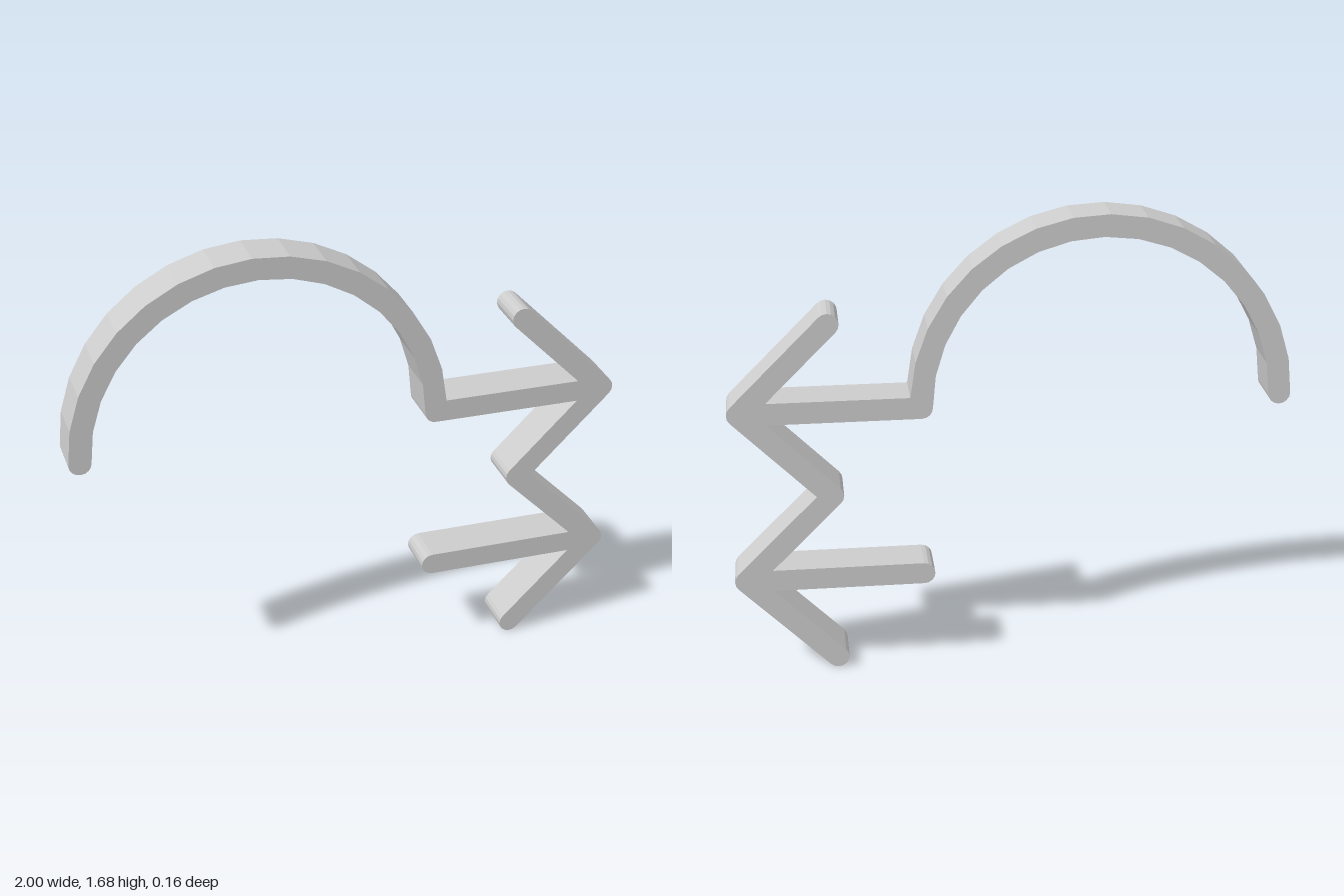
import * as THREE from 'three';

const R = 0.04;              // half the stroke width
const D = R * Math.SQRT2;    // offset of a diagonal edge measured along an axis
const DEPTH = 0.16;

export function createModel() {
  const grey = new THREE.MeshStandardMaterial({ color: 0xcccccc });
  grey.name = 'plain grey';

  const pts = [];
  const point = (x, y) => pts.push(new THREE.Vector2(x, y));
  // Arc of points between two angles in degrees
  const arc = (x, y, r, from, to, steps) => {
    for (let i = 0; i <= steps; i++) {
      const a = THREE.MathUtils.degToRad(from + (to - from) * i / steps);
      point(x + r * Math.cos(a), y + r * Math.sin(a));
    }
  };
  const round = (x, y, from, to) => arc(x, y, R, from, to, Math.round((to - from) / 22.5));
  const crotch = 0.96 - R - D; // x where a shaft edge meets an arrowhead edge

  // Hook: free end and inside of the bow
  round(-0.96, 1, 180, 360);
  arc(-0.32, 1, 0.64 - R, 180, 0, 16);
  // Underside of the upper arrow, down to the bend between the arrows
  round(0.32, 1, 180, 270);
  point(crotch, 1 - R);
  round(0.64, 0.68, 135, 225);
  // Lower arrow
  point(crotch, 0.36 + R);
  round(0.32, 0.36, 90, 270);
  point(crotch, 0.36 - R);
  round(0.64, 0.04, 135, 315);
  round(0.96, 0.36, -45, 45);
  // Upper arrow head
  point(0.64 + D, 0.68);
  round(0.96, 1, -45, 45);
  round(0.64, 1.32, 45, 225);
  point(crotch, 1 + R);
  // Outside of the bow, starting where it meets the shaft
  const start = THREE.MathUtils.radToDeg(Math.asin(R / (0.64 + R)));
  arc(-0.32, 1, 0.64 + R, start, 180, 16);
  pts.pop(); // same as the first point

  const geometry = new THREE.ExtrudeGeometry(new THREE.Shape(pts), {
    depth: DEPTH, bevelEnabled: false,
  });
  geometry.translate(0, 0, -DEPTH / 2);

  const body = new THREE.Mesh(geometry, grey);
  body.name = 'bowAndArrowheads';
  const group = new THREE.Group();
  group.name = 'hookedDoubleArrow';
  group.add(body);
  return group;
}
